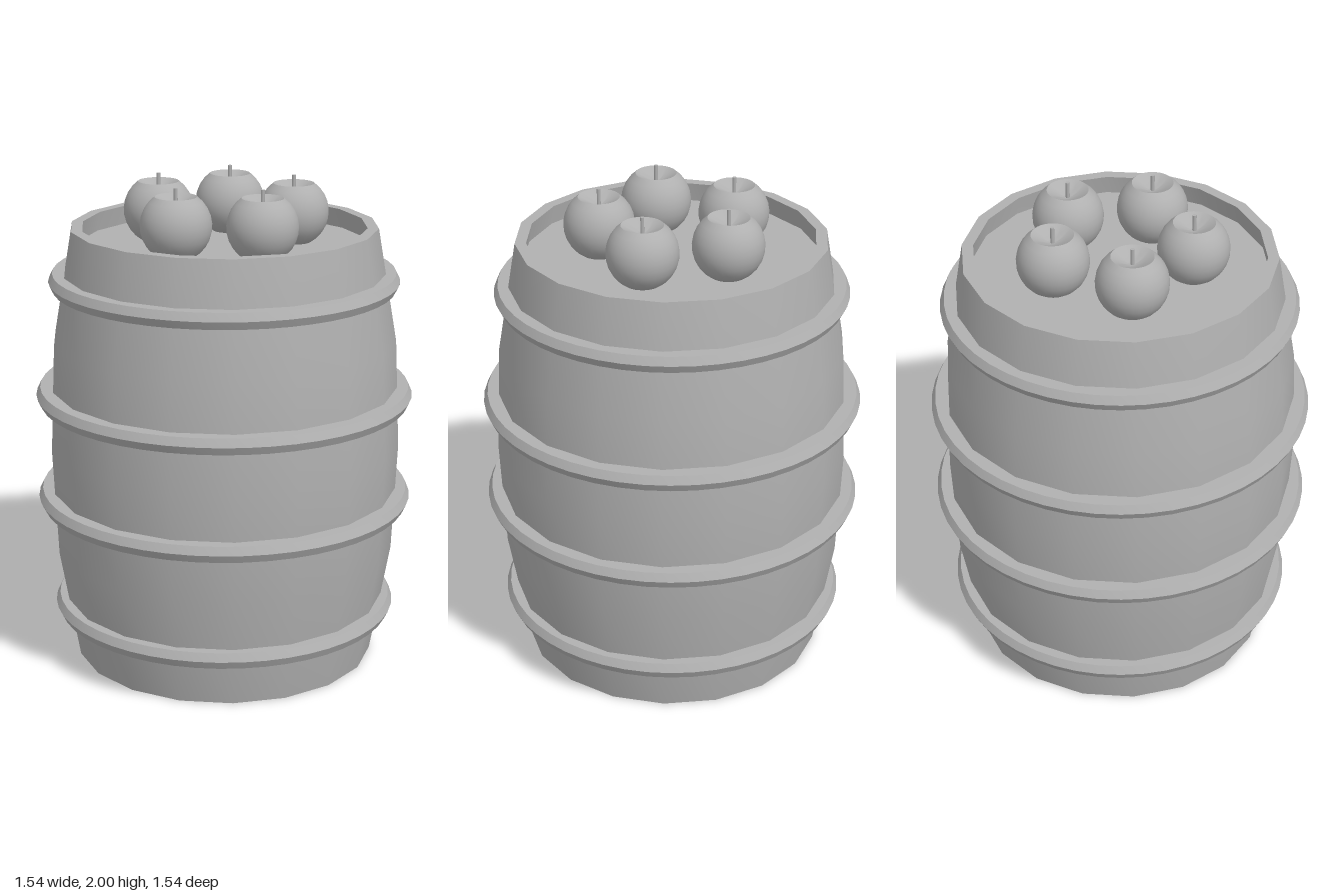
import * as THREE from 'three';
import { toCreasedNormals } from 'three/addons/utils/BufferGeometryUtils.js';

const SIDES = 18;

// Revolve [radius, y] points; quarter-turn start puts vertices on the x axis
function revolve(points, segments, crease = 0.6) {
  const profile = points.map(([r, y]) => new THREE.Vector2(r, y));
  const geometry = new THREE.LatheGeometry(profile, segments, Math.PI / 2);
  return toCreasedNormals(geometry, crease);
}

export function createModel() {
  const model = new THREE.Group();
  model.name = 'appleBarrel';

  const grey = new THREE.MeshStandardMaterial({ color: 0xb0b0b0 });
  grey.name = 'plain grey';

  function add(parent, name, geometry, x = 0, y = 0, z = 0) {
    const mesh = new THREE.Mesh(geometry, grey);
    mesh.name = name;
    mesh.position.set(x, y, z);
    parent.add(mesh);
    return mesh;
  }

  // Hollow bulging wall, open at both ends
  const outer = [[0.62, 0], [0.7, 0.46], [0.72, 0.905], [0.7, 1.35], [0.62, 1.81]];
  const inner = outer.map(([r, y]) => [r - 0.045, y]).reverse();
  add(model, 'barrelWall', revolve([...outer, ...inner, outer[0]], SIDES));

  // Recessed lid
  const lid = new THREE.CylinderGeometry(0.59, 0.59, 0.03, SIDES, 1, false, Math.PI / 2);
  add(model, 'lid', lid, 0, 1.715, 0);

  // Four bevelled hoops, mirrored about the middle
  const hoopShape = (r, hole) => revolve([
    [hole, -0.033], [r - 0.016, -0.033], [r, 0], [r - 0.016, 0.033], [hole, 0.033], [hole, -0.033],
  ], 48);
  for (const side of [-1, 1]) {
    add(model, 'endHoop', hoopShape(0.71, 0.64), 0, 0.905 + side * 0.687, 0);
    add(model, 'middleHoop', hoopShape(0.77, 0.69), 0, 0.905 + side * 0.217, 0);
  }

  // Apple: round body with a dimpled top
  const body = [[0, -0.13], [0.05, -0.128]];
  for (let i = 0; i <= 9; i++) {
    const a = THREE.MathUtils.lerp(-1.05, 0.95, i / 9);
    body.push([0.142 * Math.cos(a), 0.142 * Math.sin(a)]);
  }
  body.push([0.05, 0.098], [0.02, 0.084], [0, 0.08]);
  const appleShape = revolve(body, 32, 0.75);
  const stemShape = new THREE.CylinderGeometry(0.008, 0.008, 0.08, 8);

  // Five apples in a ring on the lid
  for (let i = 0; i < 5; i++) {
    const a = (i / 5) * Math.PI * 2;
    const apple = new THREE.Group();
    apple.name = 'apple';
    apple.position.set(0.288 * Math.cos(a), 1.852, 0.288 * Math.sin(a));
    add(apple, 'appleBody', appleShape);
    add(apple, 'appleStem', stemShape, 0, 0.108, 0);
    model.add(apple);
  }

  return model;
}
